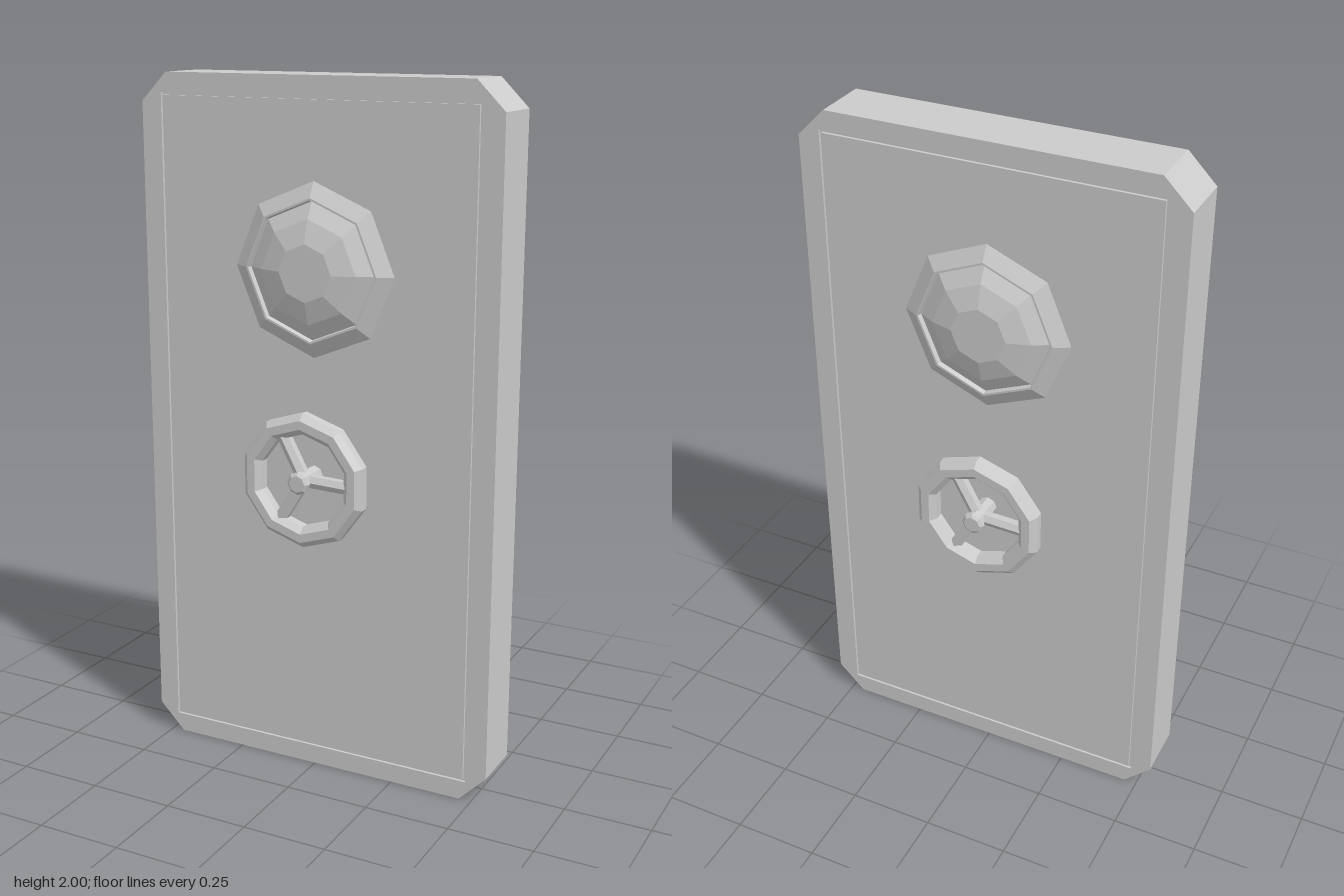
import * as THREE from 'three';

const FACE = 0.083; // half thickness of the door

export function createModel() {
  const group = new THREE.Group();
  const mat = new THREE.MeshStandardMaterial({ color: 0xcccccc, flatShading: true });

  const add = (parent, name, geometry, x = 0, y = 0, z = 0) => {
    const mesh = new THREE.Mesh(geometry, mat);
    mesh.name = name;
    mesh.position.set(x, y, z);
    parent.add(mesh);
    return mesh;
  };
  // Faceted turned part whose axis points along z; profile is [radius, z]
  const turned = (profile, sides) =>
    new THREE.LatheGeometry(profile.map(([r, z]) => new THREE.Vector2(r, z)), sides).rotateX(Math.PI / 2);

  // Outer frame with cut corners and a rectangular opening
  const w = 0.543, c = 0.08, px = 0.481, py = 0.056;
  const outline = new THREE.Shape([
    [-w + c, 0], [w - c, 0], [w, c], [w, 2 - c], [w - c, 2], [-w + c, 2], [-w, 2 - c], [-w, c],
  ].map(p => new THREE.Vector2(...p)));
  outline.holes.push(new THREE.Path([
    [-px, py], [-px, 2 - py], [px, 2 - py], [px, py],
  ].map(p => new THREE.Vector2(...p))));
  add(group, 'frame', new THREE.ExtrudeGeometry(outline, { depth: 2 * FACE, bevelEnabled: false }), 0, 0, -FACE);

  // Panel with a fine groove round it, and a core closing the groove
  add(group, 'panel', new THREE.BoxGeometry(0.946, 1.874, 2 * FACE), 0, 1, 0);
  add(group, 'panelCore', new THREE.BoxGeometry(0.97, 1.896, 2 * FACE - 0.016), 0, 1, 0);

  // Window and handwheel, the same on both faces
  for (const side of ['front', 'back']) {
    const fittings = new THREE.Group();
    fittings.name = side + 'Fittings';
    fittings.rotation.y = side === 'front' ? 0 : Math.PI;
    group.add(fittings);

    add(fittings, 'windowRim', turned(
      [[0.243, FACE - 0.01], [0.243, FACE], [0.2, 0.107], [0.194, 0.107], [0.19, 0.088]], 8), 0, 1.48, 0);
    add(fittings, 'windowDome', turned(
      [[0.193, FACE], [0.19, 0.094], [0.145, 0.119], [0.08, 0.138], [0, 0.138]], 8), 0, 1.48, 0);

    const wheel = new THREE.Group();
    wheel.name = 'handwheel';
    wheel.position.y = 0.9;
    fittings.add(wheel);

    const section = [];
    for (let i = 0; i <= 8; i++) {
      const a = (i - 0.5) * Math.PI / 4;
      section.push([0.165 + 0.0325 * Math.cos(a), 0.14 + 0.0325 * Math.sin(a)]);
    }
    add(wheel, 'wheelRim', turned(section, 10));
    add(wheel, 'hub', turned(
      [[0.027, FACE - 0.01], [0.027, 0.165], [0.033, 0.171], [0.033, 0.181], [0.024, 0.188], [0, 0.188]], 8));

    for (let i = 0; i < 3; i++) {
      const spoke = new THREE.CylinderGeometry(0.02, 0.02, 0.15, 6, 1, true).rotateZ(Math.PI / 2).translate(0.08, 0, 0);
      add(wheel, 'spoke', spoke, 0, 0, 0.14).rotation.z = i * Math.PI * 2 / 3 - 0.03;
    }
  }
  return group;
}
